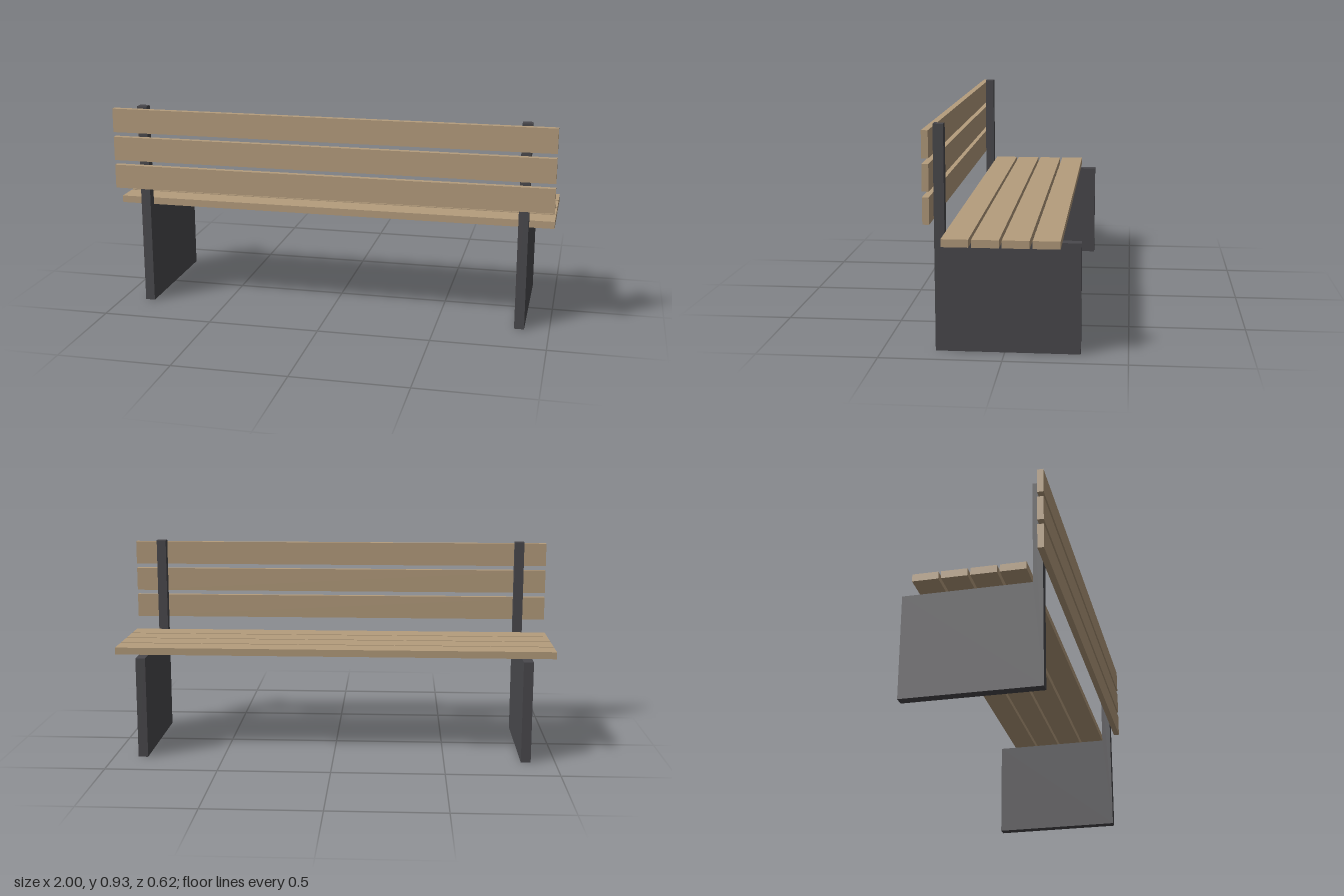
import * as THREE from 'three';

export function createModel() {
  const bench = new THREE.Group();
  bench.name = 'bench';
  const wood = new THREE.MeshStandardMaterial({ color: 0xb59d7d });
  const metal = new THREE.MeshStandardMaterial({ color: 0x4a494d });

  // L-shaped end frames: a solid leg panel with an upright back post
  const W = 0.044;
  const profile = new THREE.Shape([
    [-0.282, 0], [0.308, 0], [0.308, 0.46], [-0.24, 0.46], [-0.24, 0.93], [-0.282, 0.93],
  ].map(([a, y]) => new THREE.Vector2(a, y)));
  const frameGeo = new THREE.ExtrudeGeometry(profile, { depth: W, bevelEnabled: false });
  frameGeo.translate(0, 0, -W / 2).rotateY(Math.PI / 2); // profile axis becomes -z
  for (const side of [-1, 1]) {
    const frame = new THREE.Mesh(frameGeo, metal);
    frame.name = side > 0 ? 'leftFrame' : 'rightFrame';
    frame.position.x = side * 0.868;
    bench.add(frame);
  }

  const addSlat = (name, height, depth, y, z) => {
    const slat = new THREE.Mesh(new THREE.BoxGeometry(2, height, depth), wood);
    slat.name = name;
    slat.position.set(0, y, z);
    bench.add(slat);
  };

  // Seat slats
  for (let i = 0; i < 4; i++) addSlat(`seatSlat${i + 1}`, 0.032, 0.109, 0.476, 0.1845 - i * 0.1203);

  // Backrest slats, fixed to the outer face of the posts
  for (let i = 0; i < 3; i++) addSlat(`backSlat${i + 1}`, 0.109, 0.027, 0.603 + i * 0.131, 0.2955);

  return bench;
}
